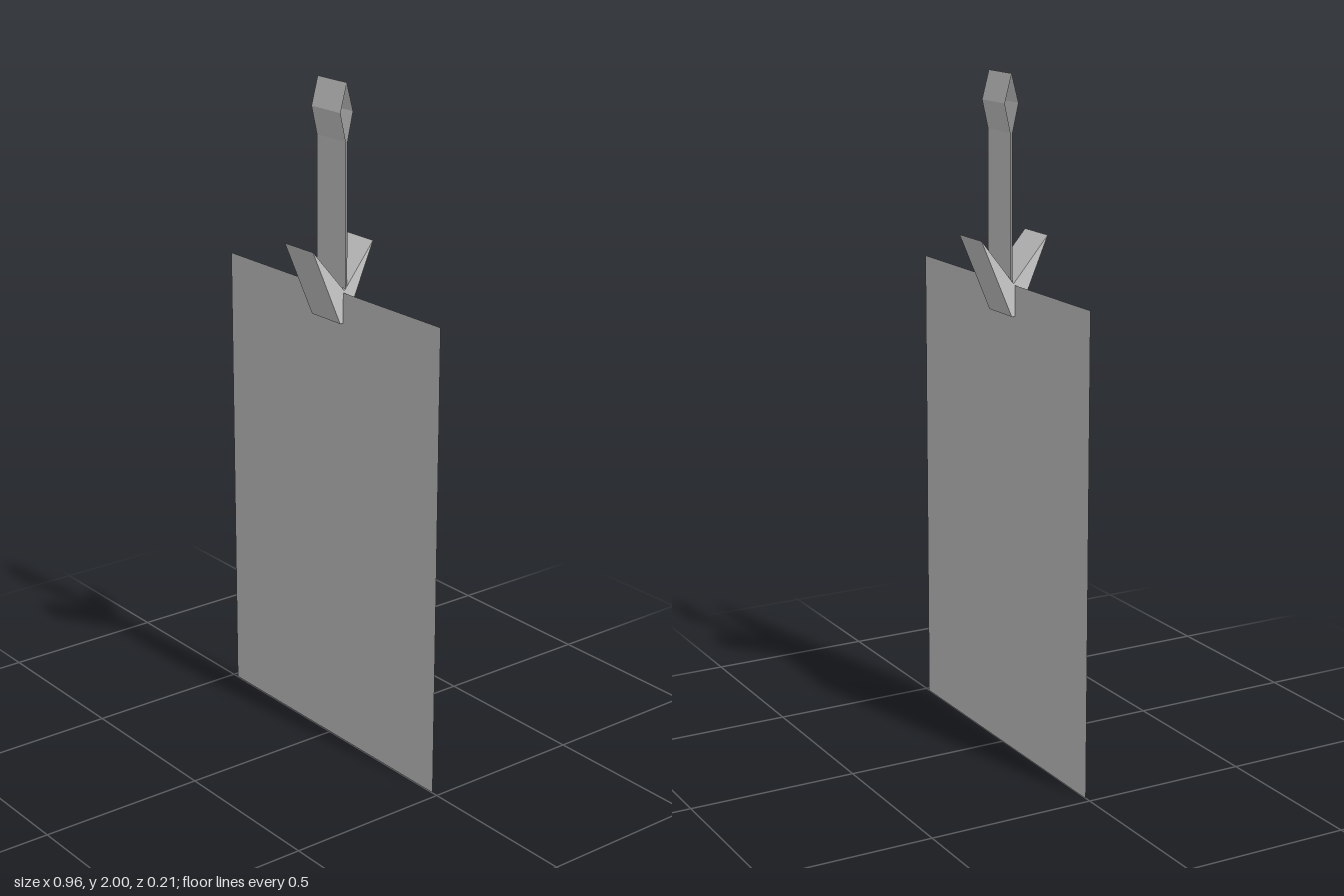
import * as THREE from 'three';

const X0 = -0.07, X1 = 0.06; // side edges of the clip and strap

export function createModel() {
  const group = new THREE.Group();
  const solid = new THREE.MeshStandardMaterial({ color: 0xcccccc, flatShading: true });
  const sheet = new THREE.MeshStandardMaterial({ color: 0xcccccc, flatShading: true, side: THREE.DoubleSide });
  const add = (name, geometry, material) => {
    const mesh = new THREE.Mesh(geometry, material);
    mesh.name = name;
    group.add(mesh);
    return mesh;
  };

  // Flat card, a single thin sheet
  add('card', new THREE.PlaneGeometry(0.96, 1.405), sheet).position.set(0, 0.7025, -0.001);

  // Clip: V-shaped profile (z, y) extruded across the width
  const vee = new THREE.Shape(
    [[-0.011, 1.315], [0.01, 1.315], [0.106, 1.54], [-0.005, 1.41], [-0.108, 1.54]]
      .map(([z, y]) => new THREE.Vector2(z, y))
  );
  const clip = new THREE.ExtrudeGeometry(vee, { depth: X1 - X0, bevelEnabled: false });
  clip.rotateY(-Math.PI / 2).translate(X1, 0, 0);
  add('clip', clip, solid);

  // Strap: thin ribbon up the front, round the pointed loop and down the back
  const path = [
    [-0.009, 1.4], [-0.009, 1.835], [0.01, 1.918], [-0.012, 2],
    [-0.034, 1.918], [-0.015, 1.835], [-0.015, 1.4],
  ];
  const strap = new THREE.PlaneGeometry(1, 1, 1, path.length - 1);
  const pos = strap.attributes.position;
  path.forEach(([z, y], i) => {
    pos.setXYZ(2 * i, X1, y, z);
    pos.setXYZ(2 * i + 1, X0, y, z);
  });
  strap.computeVertexNormals();
  add('strap', strap, sheet);

  return group;
}
